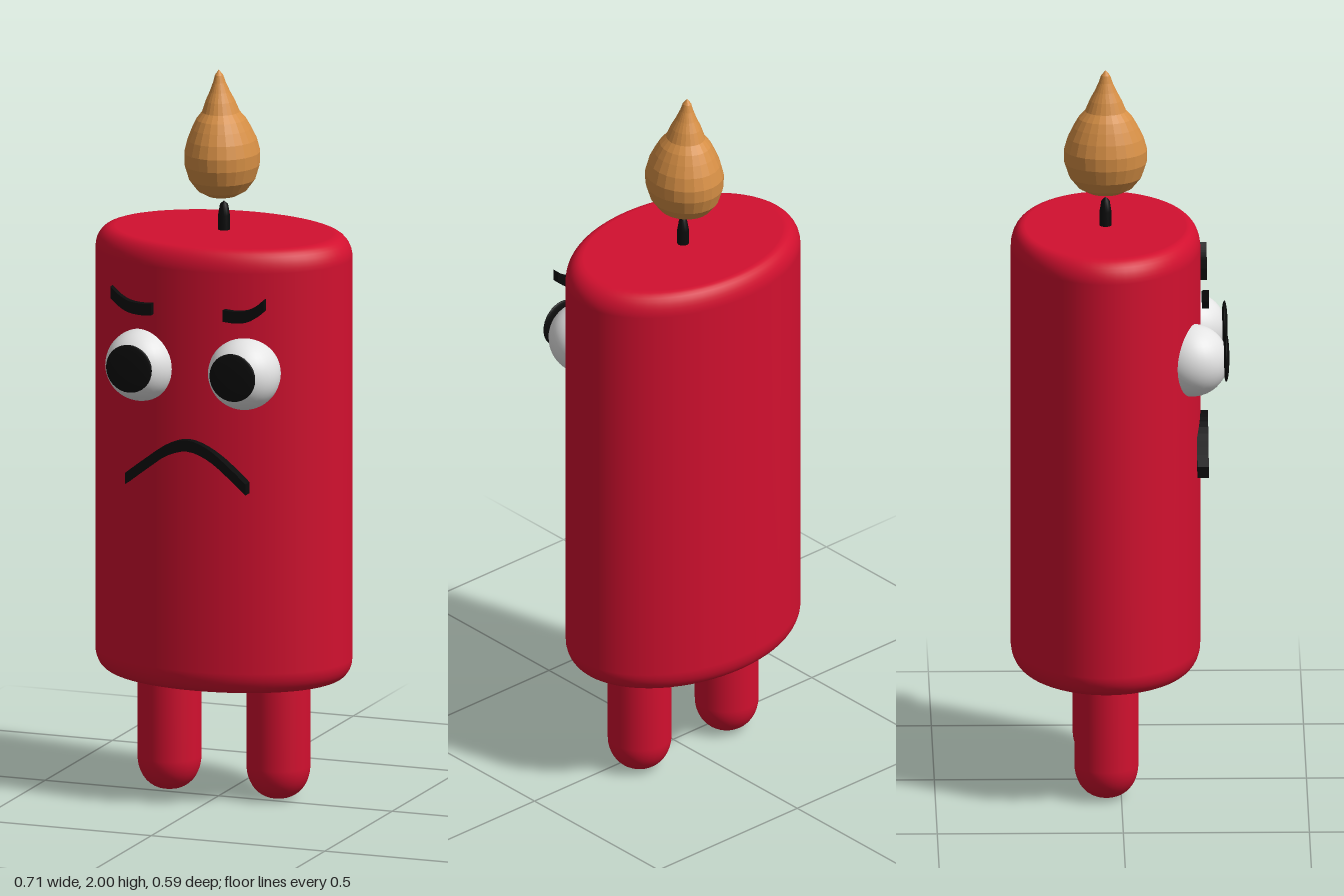
import * as THREE from 'three';

const paint = (name, color) => {
  const m = new THREE.MeshStandardMaterial({ color });
  m.name = name;
  return m;
};

export function createModel() {
  const red = paint('waxRed', 0xd2102f);
  const orange = paint('flameOrange', 0xd68f45);
  const white = paint('eyeWhite', 0xe4e4e4);
  const black = paint('black', 0x0b0b0b);

  const model = new THREE.Group();
  model.name = 'candle';
  const CZ = -0.04; // depth of the candle's axis

  const add = (name, geometry, material, x = 0, y = 0, z = 0) => {
    const mesh = new THREE.Mesh(geometry, material);
    mesh.name = name;
    mesh.position.set(x, y, z);
    model.add(mesh);
    return mesh;
  };
  const lathe = (pts, segments) =>
    new THREE.LatheGeometry(pts.map(([r, y]) => new THREE.Vector2(r, y)), segments);

  // Oval wax body with rounded rims
  const R = 0.357, bottom = 0.335, top = 1.56, rr = 0.05, rh = 0.06, steps = 8;
  const profile = [[0, bottom], [R - rr - 0.004, bottom]];
  for (let i = 0; i <= steps; i++) {
    const a = (i / steps) * Math.PI / 2;
    profile.push([R - rr + rr * Math.sin(a), bottom + rh - rh * Math.cos(a)]);
  }
  for (let i = 0; i <= steps; i++) {
    const a = (i / steps) * Math.PI / 2;
    profile.push([R - rr + rr * Math.cos(a), top - rh + rh * Math.sin(a)]);
  }
  profile.push([R - rr - 0.004, top], [0, top]);
  add('body', lathe(profile, 64), red, 0, 0, CZ).scale.z = 0.255 / R;

  // Wick with a tapered tip
  add('wick', lathe([[0.016, 1.54], [0.016, 1.6], [0.011, 1.63], [0, 1.64]], 16), black, 0, 0, CZ);

  // Faceted flame, its tip leaning slightly to one side
  const flame = lathe([
    [0, 1.65], [0.04, 1.655], [0.066, 1.67], [0.088, 1.70], [0.1, 1.74], [0.101, 1.775],
    [0.092, 1.81], [0.079, 1.84], [0.066, 1.865], [0.05, 1.885], [0.039, 1.915],
    [0.027, 1.94], [0.017, 1.965], [0.011, 1.985], [0, 2],
  ], 24).toNonIndexed();
  const p = flame.attributes.position;
  for (let i = 0; i < p.count; i++) {
    const t = Math.max(0, (p.getY(i) - 1.8) / 0.2);
    p.setX(i, p.getX(i) - 0.01 * t);
  }
  flame.computeVertexNormals();
  add('flame', flame, orange, -0.005, 0, CZ).scale.z = 1.11;

  // Black face strokes: an outline drawn flat and given a little depth
  const stroke = (curve, width, depth) => {
    const upper = [], lower = [];
    for (let i = 0; i <= 20; i++) {
      const q = curve.getPoint(i / 20);
      upper.push(new THREE.Vector2(q.x, q.y + width / 2));
      lower.unshift(new THREE.Vector2(q.x, q.y - width / 2));
    }
    return new THREE.ExtrudeGeometry(new THREE.Shape([...upper, ...lower]),
      { depth, bevelEnabled: false });
  };
  const spline = pts => new THREE.SplineCurve(pts.map(([x, y]) => new THREE.Vector2(x, y)));

  add('mouth', stroke(spline([
    [-0.178, 0.918], [-0.12, 0.963], [-0.06, 1.005], [0, 1.022],
    [0.06, 1.002], [0.12, 0.957], [0.168, 0.915],
  ]), 0.031, 0.031), black, 0, 0, 0.204);

  for (const [side, s] of [['left', 1], ['right', -1]]) {
    // Leg with a rounded foot
    const leg = [[0, 0.005]];
    for (let i = 1; i <= 10; i++) {
      const a = (i / 10) * Math.PI / 2;
      leg.push([0.086 * Math.sin(a) ** 0.85, 0.095 - 0.09 * Math.cos(a)]);
    }
    leg.push([0.086, 0.36]);
    add(side + 'Leg', lathe(leg, 32), red, s * 0.157, 0, CZ);

    // Bulging eye with a flat, lens-shaped pupil
    add(side + 'Eye', new THREE.SphereGeometry(0.098, 32, 24), white, s * 0.148, 1.225, 0.19);
    add(side + 'Pupil', new THREE.SphereGeometry(0.066, 32, 16), black, s * 0.149, 1.233, 0.282)
      .scale.z = 0.13;

    // Frowning brow, always drawn from smaller to larger x
    const brow = [[0.103, 1.39], [0.135, 1.388], [0.17, 1.393], [0.198, 1.408], [0.221, 1.428]];
    const pts = s > 0 ? brow : brow.map(([x, y]) => [-x, y]).reverse();
    add(side + 'Brow', stroke(spline(pts), 0.032, 0.018), black, 0, 0, 0.217);
  }

  return model;
}
